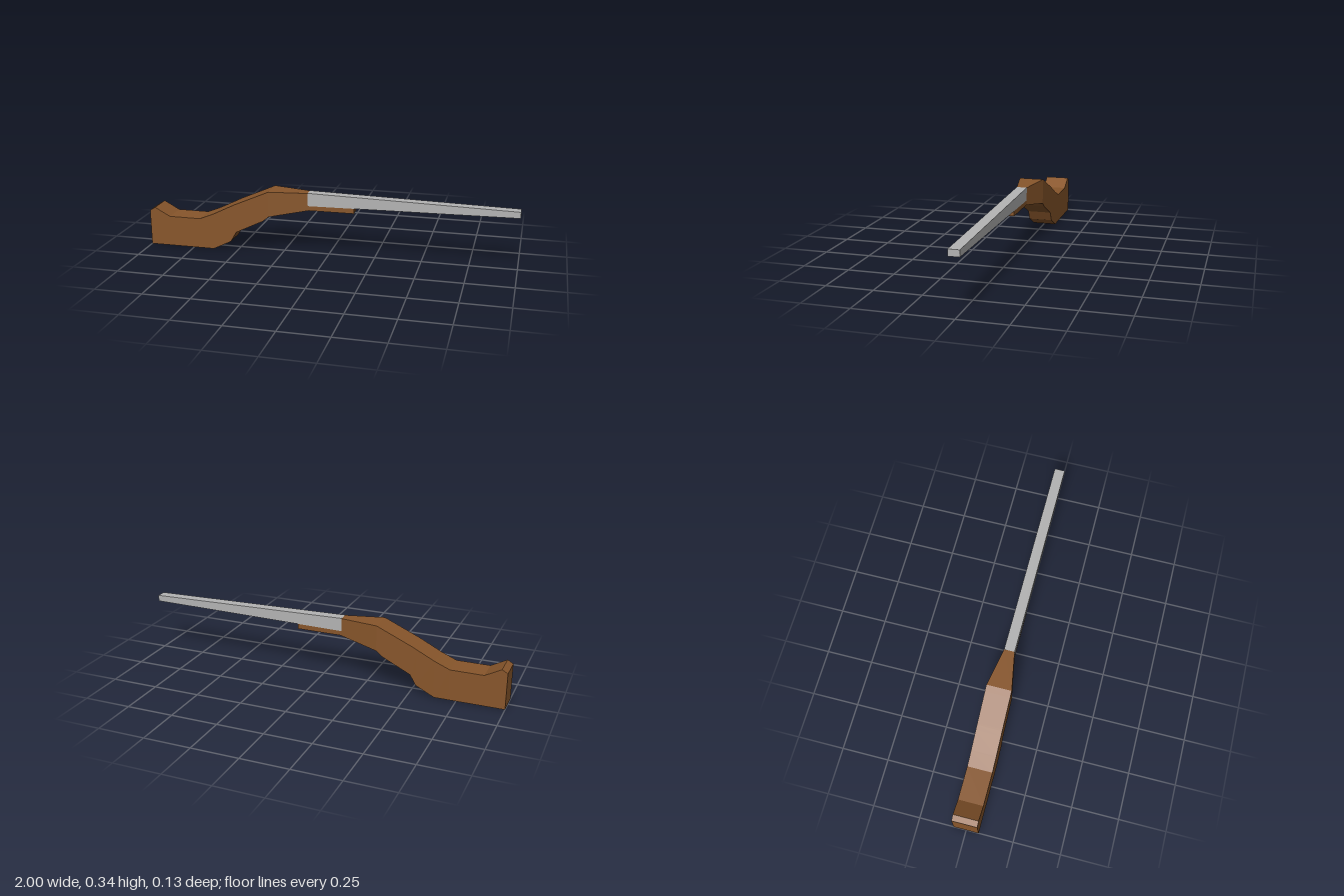
import * as THREE from 'three';

// Linear interpolation along a list of [x, value] points
function at(points, x) {
  for (let i = 1; i < points.length; i++) {
    const [x0, v0] = points[i - 1], [x1, v1] = points[i];
    if (x <= x1) return v0 + (v1 - v0) * (x - x0) / (x1 - x0);
  }
  return points[points.length - 1][1];
}

// Flat-sided loft through rectangular sections { x, bottom, top, half }
function loft(sections) {
  const pos = [], index = [];
  for (const s of sections) {
    pos.push(s.x, s.bottom, s.half, s.x, s.top, s.half, s.x, s.top, -s.half, s.x, s.bottom, -s.half);
  }
  const quad = (a, b, c, d) => index.push(a, b, c, a, c, d);
  for (let i = 0; i < sections.length - 1; i++) {
    for (let k = 0; k < 4; k++) {
      const a = i * 4 + k, b = i * 4 + (k + 1) % 4;
      quad(a, a + 4, b + 4, b);
    }
  }
  const e = (sections.length - 1) * 4;
  quad(0, 1, 2, 3);
  quad(e + 3, e + 2, e + 1, e);
  const geometry = new THREE.BufferGeometry();
  geometry.setAttribute('position', new THREE.Float32BufferAttribute(pos, 3));
  geometry.setIndex(index);
  const flat = geometry.toNonIndexed();
  flat.computeVertexNormals();
  return flat;
}

export function createModel() {
  const wood = new THREE.MeshStandardMaterial({ color: 0x88562b });
  wood.name = 'brown wood';
  const metal = new THREE.MeshStandardMaterial({ color: 0xb4b4b4 });
  metal.name = 'grey metal';

  const model = new THREE.Group();
  model.name = 'longGun';
  const add = (name, geometry, material) => {
    const mesh = new THREE.Mesh(geometry, material);
    mesh.name = name;
    model.add(mesh);
  };

  // Stock: upper and lower outlines, narrowing towards the barrel
  const top = [[-1, 0.195], [-0.97, 0.213], [-0.885, 0.167], [-0.71, 0.167], [-0.63, 0.2],
    [-0.51, 0.26], [-0.317, 0.345], [-0.105, 0.341]];
  const bottom = [[-1, 0], [-0.635, 0], [-0.535, 0.05], [-0.503, 0.105], [-0.35, 0.18],
    [-0.317, 0.207], [-0.105, 0.246]];
  const width = [[-1, 0.0665], [-0.317, 0.0665], [-0.105, 0.027]];
  const xs = [...new Set([...top, ...bottom].map(p => p[0]))].sort((a, b) => a - b);
  add('stock', loft(xs.map(x => ({ x, bottom: at(bottom, x), top: at(top, x), half: at(width, x) }))), wood);

  // Thin fore-end under the barrel
  add('foreEnd', loft([
    { x: -0.105, bottom: 0.246, top: 0.28, half: 0.027 },
    { x: 0.14, bottom: 0.247, top: 0.275, half: 0.027 },
  ]), wood);

  // Square barrel, tapering in height to the muzzle
  add('barrel', loft([
    { x: -0.11, bottom: 0.271, top: 0.342, half: 0.028 },
    { x: 1, bottom: 0.287, top: 0.32, half: 0.028 },
  ]), metal);

  return model;
}
